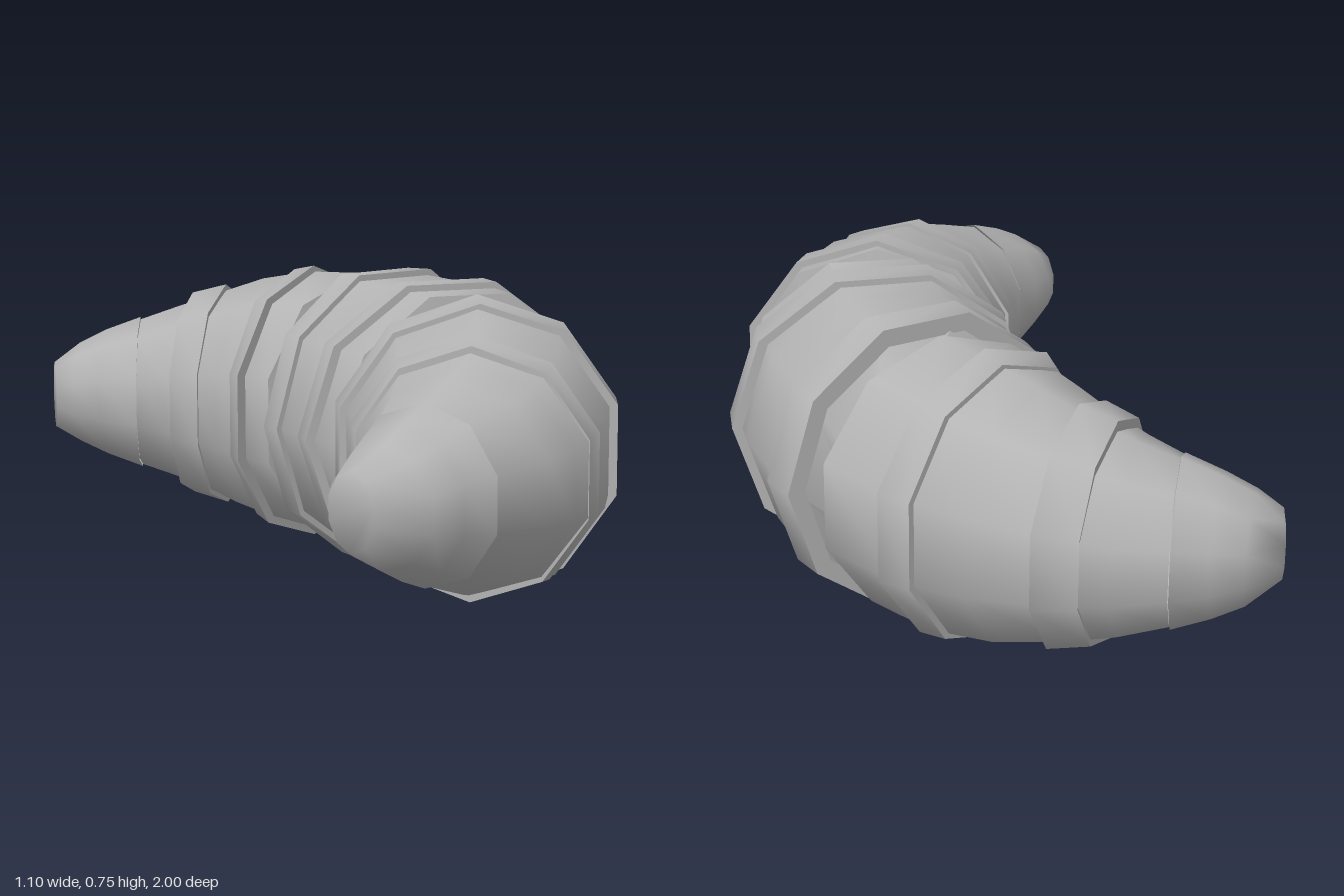
import * as THREE from 'three';
import { toCreasedNormals } from 'three/addons/utils/BufferGeometryUtils.js';

const SIDES = 10, MID_Y = 0.375, HALF_STEP = Math.PI / SIDES;

// Skin over rings [innerX, innerZ, outerX, outerZ, verticalRadius, twist]
function loft(rings, crease, capStart, capEnd) {
  const pos = [], idx = [];
  for (const [ix, iz, ox, oz, v, twist = 0] of rings) {
    for (let i = 0; i < SIDES; i++) {
      const a = (i / SIDES) * Math.PI * 2 + twist, c = Math.cos(a) / 2;
      pos.push((ix + ox) / 2 + (ox - ix) * c, MID_Y + v * Math.sin(a), (iz + oz) / 2 + (oz - iz) * c);
    }
  }
  for (let r = 0; r < rings.length - 1; r++) {
    for (let i = 0; i < SIDES; i++) {
      const j = (i + 1) % SIDES, a = r * SIDES + i, b = r * SIDES + j;
      idx.push(a, a + SIDES, b, b, a + SIDES, b + SIDES);
    }
  }
  const last = (rings.length - 1) * SIDES;
  for (let i = 1; i < SIDES - 1; i++) {
    if (capStart) idx.push(0, i, i + 1);
    if (capEnd) idx.push(last, last + i + 1, last + i);
  }
  const geo = new THREE.BufferGeometry();
  geo.setAttribute('position', new THREE.Float32BufferAttribute(pos, 3));
  geo.setIndex(idx);
  return toCreasedNormals(geo, crease);
}

// Same ring scaled sideways by k and upwards by kv about its centre
function scaleRing([ix, iz, ox, oz, v, twist], k, kv = k) {
  const cx = (ix + ox) / 2, cz = (iz + oz) / 2;
  return [cx + (ix - cx) * k, cz + (iz - cz) * k, cx + (ox - cx) * k, cz + (oz - cz) * k, v * kv, twist];
}

// Ring turned so a corner points up and a flat faces sideways, keeping its width
function turned(ring, twist = HALF_STEP) {
  const out = scaleRing(ring, 1 / Math.cos(HALF_STEP), 1);
  out[5] = twist;
  return out;
}

const mirrorZ = (rings) => rings.map(([ix, iz, ox, oz, v]) => [ix, -iz, ox, -oz, v]).reverse();
const turnAll = (rings) => rings.map((r) => turned(r));

export function createModel() {
  const group = new THREE.Group();
  const dough = new THREE.MeshStandardMaterial({ color: 0xb4b4b4, side: THREE.DoubleSide });
  dough.name = 'plain grey';
  const add = (name, rings, crease = 0.8, capStart = false, capEnd = false) => {
    const mesh = new THREE.Mesh(loft(rings, crease, capStart, capEnd), dough);
    mesh.name = name;
    group.add(mesh);
  };

  // Blunt rounded tips
  const tip = [
    [-0.55, 0.82, -0.51, 0.95, 0.09],
    [-0.52, 0.775, -0.39, 0.998, 0.138],
    [-0.465, 0.72, -0.31, 0.99, 0.175],
    [-0.39, 0.64, -0.22, 0.975, 0.21],
  ];
  add('frontTip', turnAll(tip), Math.PI, true, false);
  add('backTip', turnAll(mirrorZ(tip)), Math.PI, false, true);

  // Rolled body segments between the bands
  add('frontOuterSegment', turnAll([
    [-0.39, 0.64, -0.22, 0.97, 0.204],
    [-0.34, 0.55, -0.06, 0.925, 0.245],
    [-0.315, 0.50, 0.04, 0.88, 0.27],
    [-0.29, 0.45, 0.12, 0.82, 0.29],
  ]));
  add('frontMiddleSegment', turnAll([
    [-0.29, 0.45, 0.12, 0.82, 0.29],
    [-0.25, 0.35, 0.24, 0.70, 0.33],
    [-0.21, 0.23, 0.37, 0.52, 0.352],
  ]));
  add('centreSegment', [
    [-0.22, 0.06, 0.52, 0.13, 0.378],
    [-0.22, -0.03, 0.53, 0, 0.376],
    [-0.22, -0.12, 0.50, -0.27, 0.378],
  ]);
  add('backMiddleSegment', turnAll([
    [-0.23, -0.31, 0.32, -0.62, 0.352],
    [-0.26, -0.41, 0.19, -0.76, 0.325],
    [-0.30, -0.50, 0.03, -0.88, 0.275],
  ]));
  add('backOuterSegment', turnAll([
    [-0.30, -0.50, 0.03, -0.88, 0.275],
    [-0.34, -0.57, -0.09, -0.94, 0.24],
    [-0.39, -0.64, -0.22, -0.97, 0.204],
  ]));

  // Pinched, twisted folds either side of the centre
  add('frontFold', [
    turned([-0.21, 0.23, 0.37, 0.52, 0.352]),
    turned([-0.20, 0.20, 0.43, 0.40, 0.36]),
    [-0.20, 0.195, 0.32, 0.335, 0.32, -HALF_STEP / 2],
    [-0.20, 0.185, 0.49, 0.275, 0.375, -HALF_STEP * 2],
    [-0.22, 0.06, 0.52, 0.15, 0.378, -HALF_STEP * 2],
  ], 1.1);
  add('backFold', [
    [-0.22, -0.12, 0.50, -0.27, 0.378],
    [-0.20, -0.19, 0.33, -0.345, 0.315, -HALF_STEP * 1.5],
    turned([-0.20, -0.21, 0.43, -0.41, 0.36], -HALF_STEP * 3),
    turned([-0.23, -0.31, 0.32, -0.62, 0.352], -HALF_STEP * 3),
  ], 1.1);

  // Raised bands: each is two rim rings with inset side walls
  const outerBands = [
    [[-0.31, 0.48, 0.11, 0.83, 0.30], [-0.28, 0.40, 0.17, 0.78, 0.315]],
    [[-0.24, 0.27, 0.37, 0.555, 0.36], [-0.21, 0.19, 0.42, 0.47, 0.372]],
    [[-0.255, -0.28, 0.35, -0.60, 0.37], [-0.245, -0.35, 0.295, -0.67, 0.355]],
    [[-0.29, -0.46, 0.07, -0.865, 0.305], [-0.335, -0.54, -0.03, -0.91, 0.28]],
  ].map(turnAll);
  const centreBands = [
    [[-0.24, 0.085, 0.535, 0.185, 0.394], [-0.23, 0.02, 0.55, 0.085, 0.394]],
    [[-0.235, -0.09, 0.53, -0.235, 0.394], [-0.24, -0.155, 0.50, -0.33, 0.39]],
  ];
  [...outerBands, ...centreBands].forEach(([a, b], i) =>
    add('band' + (i + 1), [scaleRing(a, 0.88), a, b, scaleRing(b, 0.88)]));

  return group;
}
